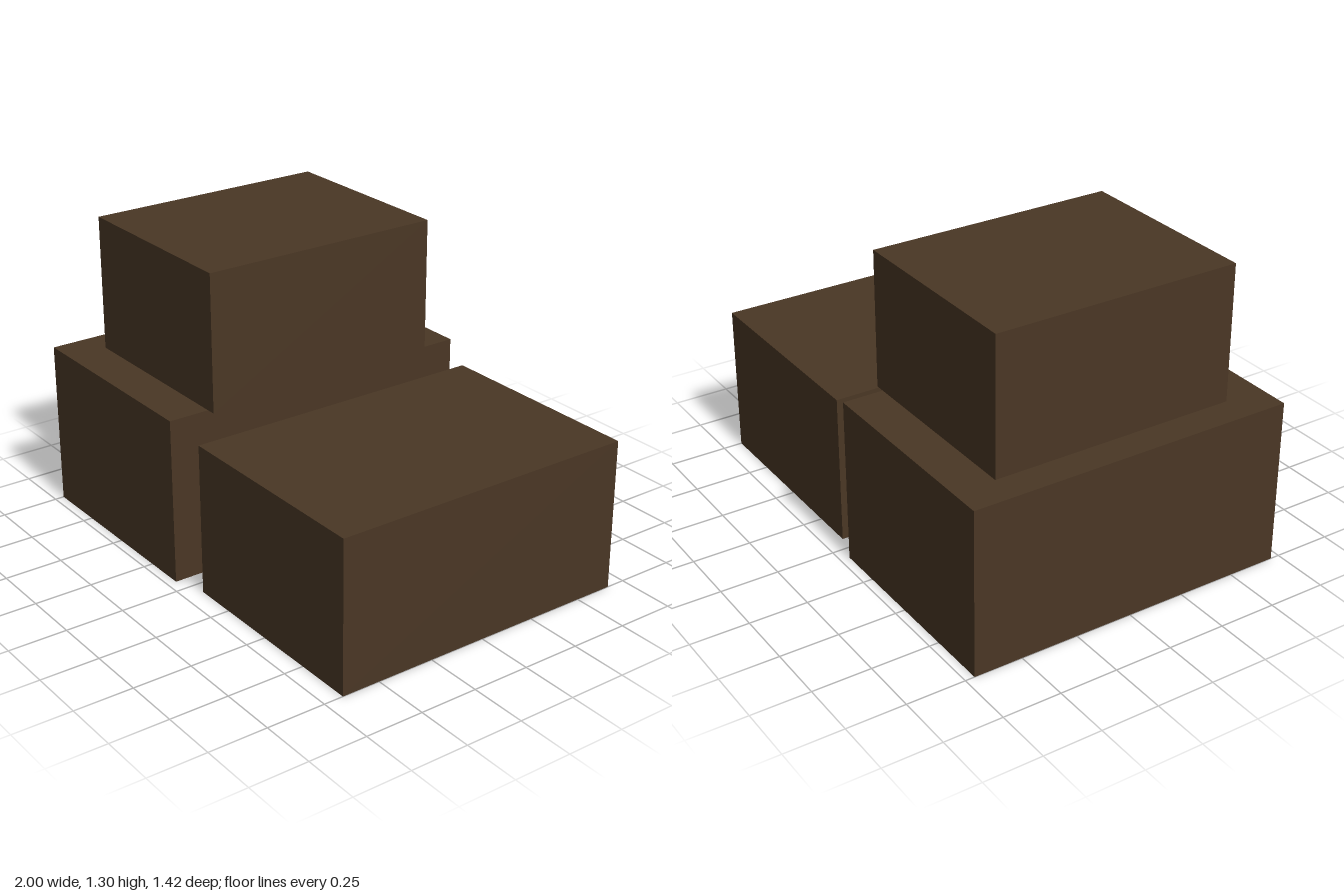
import * as THREE from 'three';

export function createModel() {
  const group = new THREE.Group();
  const brown = new THREE.MeshStandardMaterial({ color: 0x4a3725 });
  brown.name = 'dark brown';

  // A box given by its x range, y range and depth, centred on z = 0
  const addCrate = (name, x0, x1, y0, y1, depth) => {
    const crate = new THREE.Mesh(new THREE.BoxGeometry(x1 - x0, y1 - y0, depth), brown);
    crate.name = name;
    crate.position.set((x0 + x1) / 2, (y0 + y1) / 2, 0);
    group.add(crate);
  };

  // Two crates on the ground, and a smaller one stacked off-centre
  addCrate('largeCrate', -1, -0.067, 0, 0.715, 1.42);
  addCrate('lowCrate', 0.067, 1, 0, 0.65, 1.333);
  addCrate('stackedCrate', -0.867, -0.027, 0.715, 1.3, 1.067);

  return group;
}
